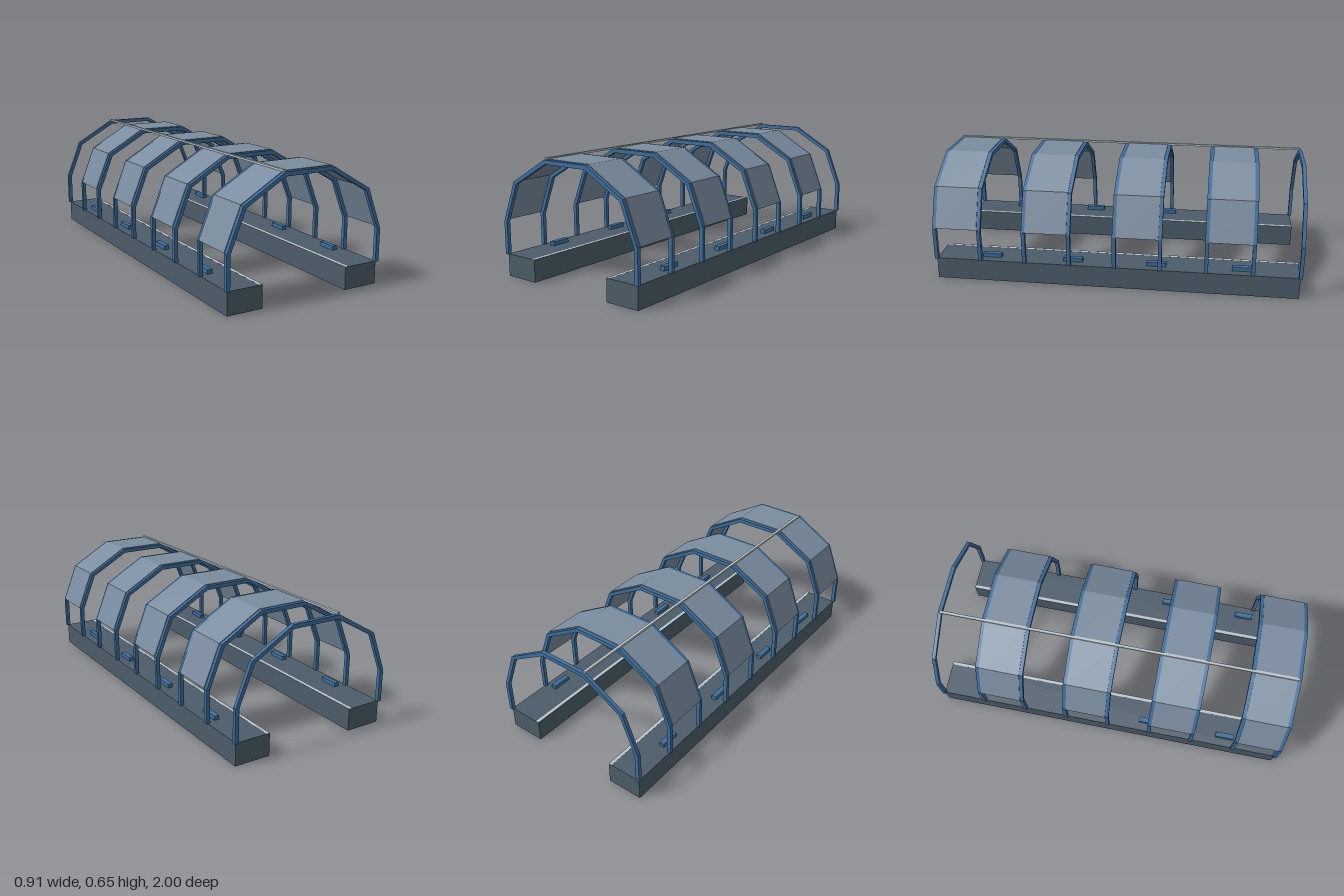
import * as THREE from 'three';

const concrete = new THREE.MeshStandardMaterial({ name: 'slate platform', color: 0x4c5c69 });
const steel = new THREE.MeshStandardMaterial({ name: 'blue steel', color: 0x3e6d9b });
const cladding = new THREE.MeshStandardMaterial({ name: 'grey roof panel', color: 0x7a8c9f });
const pale = new THREE.MeshStandardMaterial({ name: 'pale grey', color: 0xb8c4cb });

// Right half of each arch line, from the eave up to the crown
const OUTER = [[0.453, 0.3], [0.369, 0.512], [0.139, 0.645]];
const INNER = [[0.434, 0.295], [0.352, 0.5], [0.134, 0.623]];
const SKIN = [[0.457, 0.302], [0.371, 0.515], [0.14, 0.648]];

// Closed band between two mirrored half lines, extruded along z
function band(outer, inner, depth) {
  const full = (half) => [...half, ...half.map(([x, y]) => [-x, y]).reverse()];
  const points = [...full(outer), ...full(inner).reverse()].map(([x, y]) => new THREE.Vector2(x, y));
  const geometry = new THREE.ExtrudeGeometry(new THREE.Shape(points), { depth, bevelEnabled: false });
  return geometry.translate(0, 0, -depth / 2);
}

export function createModel() {
  const model = new THREE.Group();
  model.name = 'stationCanopy';

  const add = (name, geometry, material, x, y, z) => {
    const mesh = new THREE.Mesh(geometry, material);
    mesh.name = name;
    mesh.position.set(x, y, z);
    model.add(mesh);
  };

  const spacing = 0.2475;
  const archGeometry = band(OUTER, INNER, 0.02);
  const panelGeometry = band(SKIN, OUTER, 0.2275);
  const postGeometry = new THREE.BoxGeometry(0.021, 0.18, 0.02);
  const platformGeometry = new THREE.BoxGeometry(0.196, 0.12, 1.98);
  const edgeGeometry = new THREE.BoxGeometry(0.018, 0.002, 1.98);
  const benchGeometry = new THREE.BoxGeometry(0.028, 0.022, 0.105);

  // Platforms with pale safety edges and benches
  for (const side of [-1, 1]) {
    const label = side > 0 ? 'left' : 'right';
    add(label + 'Platform', platformGeometry, concrete, side * 0.347, 0.06, 0);
    add(label + 'SafetyEdge', edgeGeometry, pale, side * 0.2585, 0.1195, 0);
    for (const z of [0.687, 0.233, -0.225, -0.685]) {
      add(label + 'Bench', benchGeometry, steel, side * 0.385, 0.131, z);
    }
  }

  // Nine arched frames, each standing on two posts
  for (let i = 0; i < 9; i++) {
    const z = 0.99 - i * spacing;
    add('archFrame', archGeometry, steel, 0, 0, z);
    for (const side of [-1, 1]) add('post', postGeometry, steel, side * 0.4445, 0.21, z);
  }

  // Roof panels fitted between the frames of every other bay
  for (let i = 0; i < 4; i++) {
    add('roofPanel', panelGeometry, cladding, 0, 0, 0.99 - (2 * i + 0.5) * spacing);
  }

  // Rail along the roof
  add('roofRail', new THREE.BoxGeometry(0.015, 0.01, 1.98), pale, -0.139, 0.649, 0);

  return model;
}
